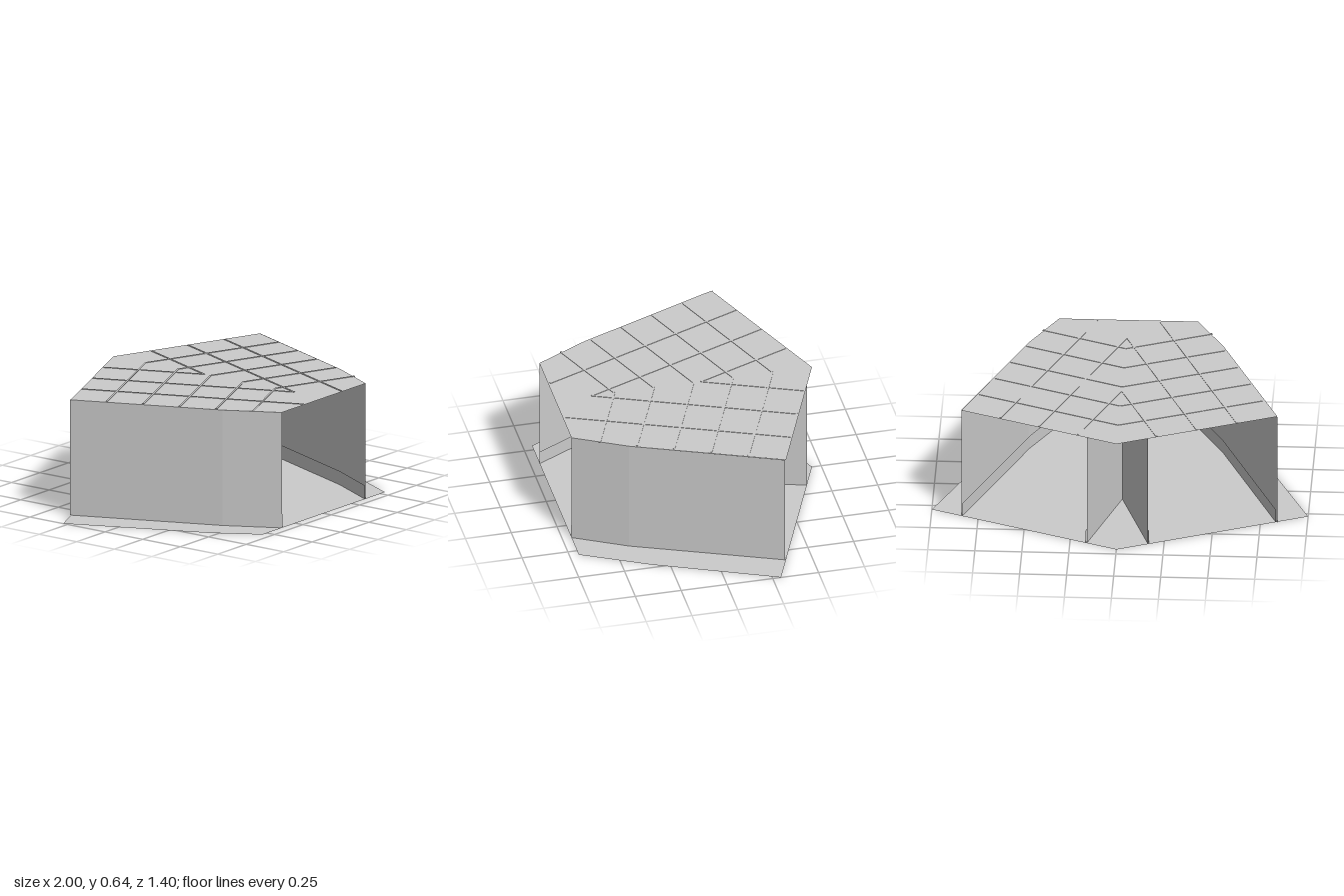
import * as THREE from 'three';

const HEIGHT = 0.635;
const SKIRTING = 0.075;
const material = new THREE.MeshStandardMaterial({ color: 0xcccccc, flatShading: true, side: THREE.DoubleSide });

// Flat sheet from [x, z] corners, lying at height y
function sheet(name, points, y) {
  const shape = new THREE.Shape(points.map(([x, z]) => new THREE.Vector2(x, -z)));
  const geometry = new THREE.ShapeGeometry(shape).rotateX(-Math.PI / 2).translate(0, y, 0);
  const mesh = new THREE.Mesh(geometry, material);
  mesh.name = name;
  return mesh;
}

// Thin upright wall following [x, z] points from the ground to the given height
function wall(name, points, height) {
  const positions = [];
  for (let i = 0; i + 1 < points.length; i++) {
    const [ax, az] = points[i];
    const [bx, bz] = points[i + 1];
    positions.push(ax, 0, az, bx, 0, bz, bx, height, bz);
    positions.push(ax, 0, az, bx, height, bz, ax, height, az);
  }
  const geometry = new THREE.BufferGeometry();
  geometry.setAttribute('position', new THREE.Float32BufferAttribute(positions, 3));
  geometry.computeVertexNormals();
  const mesh = new THREE.Mesh(geometry, material);
  mesh.name = name;
  return mesh;
}

// Slim batten between two [x, z] points on the roof
function batten(a, b) {
  const dx = b[0] - a[0], dz = b[1] - a[1];
  const mesh = new THREE.Mesh(new THREE.BoxGeometry(Math.hypot(dx, dz), 0.005, 0.01), material);
  mesh.position.set((a[0] + b[0]) / 2, HEIGHT, (a[1] + b[1]) / 2);
  mesh.rotation.y = -Math.atan2(dz, dx);
  mesh.name = 'roofBatten';
  return mesh;
}

export function createModel() {
  const model = new THREE.Group();
  model.name = 'pavilion';

  // Floor slab and roof, both pointed at the back
  model.add(sheet('floor', [[0, -0.7], [-1, -0.28], [-0.685, 0.45], [-0.54, 0.7],
    [0.54, 0.7], [0.72, 0.35], [1, -0.295]], 0));
  model.add(sheet('roof', [[0, -0.7], [-0.84, -0.35], [-0.52, 0.42], [-0.37, 0.7],
    [0.37, 0.7], [0.52, 0.42], [0.84, -0.36]], HEIGHT));

  // V-shaped partition, open to the back
  model.add(wall('partition', [[-0.165, -0.63], [-0.005, -0.13], [0.16, -0.635]], HEIGHT));
  model.add(wall('partitionSkirting', [[-0.171, -0.627], [-0.005, -0.112], [0.166, -0.632]], SKIRTING));

  const battens = new THREE.Group();
  battens.name = 'roofBattens';
  model.add(battens);

  for (const side of [-1, 1]) {
    const label = side > 0 ? 'left' : 'right';
    const sidePath = (inset) => [[0.84, -0.355], [0.52, 0.42], [0.37, 0.7]].map(([x, z]) => [side * (x - inset), z]);

    // Side wall with skirting on the inner face
    model.add(wall(label + 'Wall', sidePath(0), HEIGHT));
    model.add(wall(label + 'Skirting', sidePath(0.007), SKIRTING));

    // Battens parallel to the back edge
    for (const d of [0.2, 0.4, 0.6, 0.8, 1.0]) {
      battens.add(batten([0, -0.7 + d / 0.927], [side * (0.83 - 0.38 * d), -0.36 + 0.925 * d]));
    }
    // Battens parallel to the side wall
    for (const f of [0.25, 0.5, 0.75]) {
      const x = 0.84 * f, z = -0.69 + 0.34 * f;
      const length = Math.min(x / 0.38, (0.69 - z) / 0.925);
      battens.add(batten([side * x, z], [side * (x - 0.38 * length), z + 0.925 * length]));
    }
  }
  return model;
}
